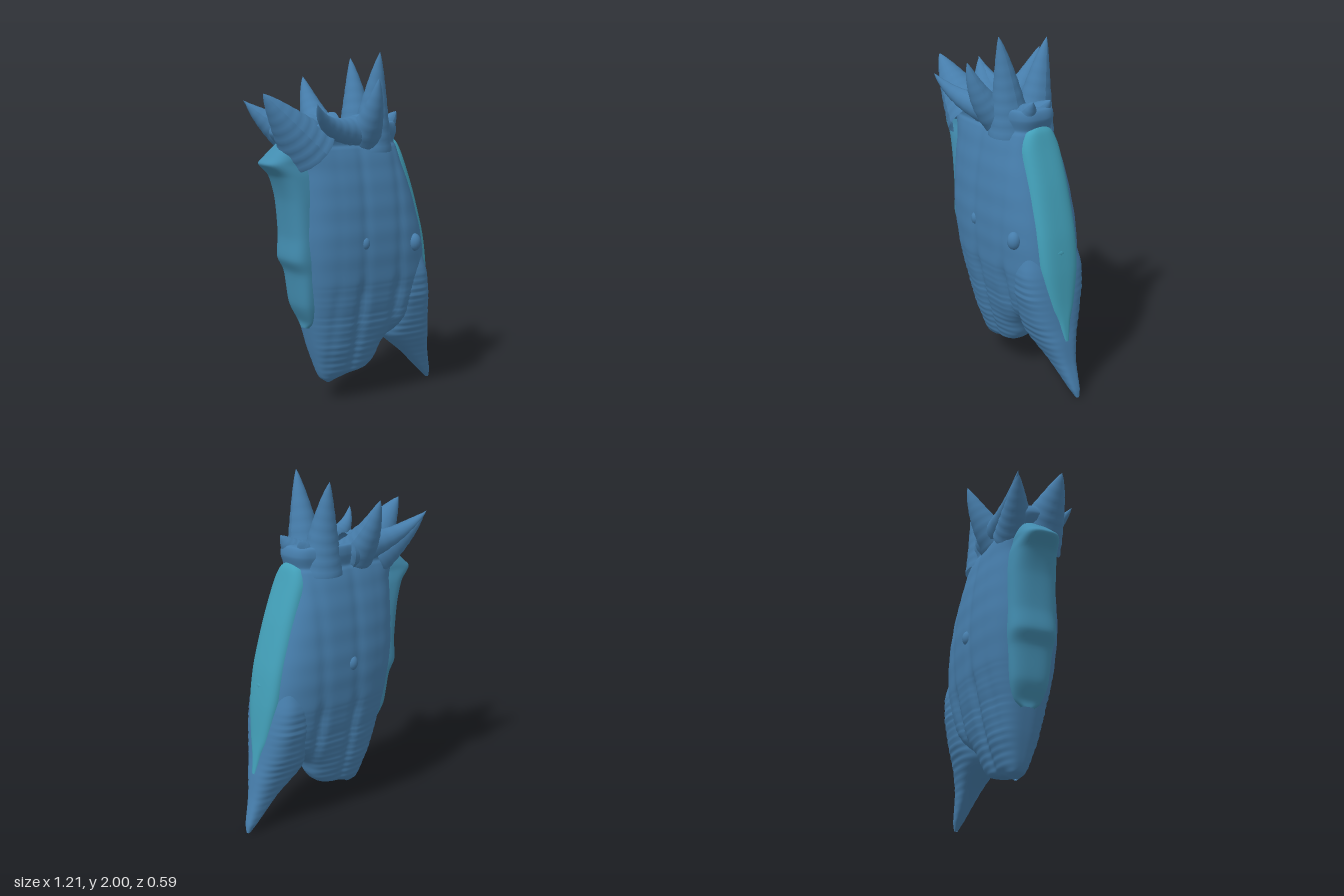
import * as THREE from 'three';

const blue = new THREE.MeshStandardMaterial({ color: 0x467dab, side: THREE.DoubleSide });
const teal = new THREE.MeshStandardMaterial({ color: 0x429fb8, side: THREE.DoubleSide });
const midBlue = new THREE.MeshStandardMaterial({ color: 0x428caf, side: THREE.DoubleSide });

// Skin over rows of [y, left x, right x, half depth, centre z], listed bottom to top.
function loft(rows, { n = 3, grooves = [], ripple = 0, rings = 70, sides = 48 } = {}) {
  const edge = (k) => new THREE.CatmullRomCurve3(
    rows.map((r) => new THREE.Vector3(r[k], r[0], k === 1 ? r[3] : r[4] || 0)), false, 'catmullrom', 0.4);
  const left = edge(1), right = edge(2);
  const pos = [], index = [];
  for (let i = 0; i <= rings; i++) {
    const l = left.getPoint(i / rings), r = right.getPoint(i / rings);
    const cx = (l.x + r.x) / 2, w = (r.x - l.x) / 2;
    // growth rings, strong on the lower part
    const low = THREE.MathUtils.smoothstep(0.8 - l.y, 0, 0.2);
    const wave = 1 + ripple * (low * Math.sin(l.y * 150) + 0.35 * Math.sin(l.y * 45));
    for (let j = 0; j < sides; j++) {
      const a = (j / sides) * Math.PI * 2, c = Math.cos(a), s = Math.sin(a);
      const round = (Math.abs(c) ** n + Math.abs(s) ** n) ** (-1 / n);
      const x = cx + w * round * c;
      let d = Math.max(l.z, 0) * wave;
      // lengthwise seams that deepen towards the bottom
      for (const [gx, depth] of grooves) {
        const off = (x - gx) / 0.03;
        d *= 1 - depth * Math.exp(-off * off) * (0.35 + low);
      }
      pos.push(x, l.y, r.z + d * round * s);
      if (i < rings) {
        const next = (j + 1) % sides, p = i * sides;
        index.push(p + j, p + sides + j, p + next, p + next, p + sides + j, p + sides + next);
      }
    }
  }
  const g = new THREE.BufferGeometry();
  g.setAttribute('position', new THREE.Float32BufferAttribute(pos, 3));
  g.setIndex(index);
  g.computeVertexNormals();
  return g;
}

// Curved horn: a tube whose rings shrink towards the tip.
function horn(base, mid, tip, radius) {
  const curve = new THREE.QuadraticBezierCurve3(
    new THREE.Vector3(...base), new THREE.Vector3(...mid), new THREE.Vector3(...tip));
  const rings = 32, sides = 18;
  const g = new THREE.TubeGeometry(curve, rings, radius, sides);
  const p = g.attributes.position, v = new THREE.Vector3();
  for (let i = 0; i <= rings; i++) {
    const t = i / rings, c = curve.getPointAt(t);
    const s = (1 - t) ** 0.85 * (1 + 0.015 * Math.sin(t * 50)) + 0.04 * (1 - t ** 8);
    for (let j = 0; j <= sides; j++) {
      const k = i * (sides + 1) + j;
      v.fromBufferAttribute(p, k).sub(c).multiplyScalar(s).add(c);
      p.setXYZ(k, v.x, v.y, v.z);
    }
  }
  g.computeVertexNormals();
  return g;
}

export function createModel() {
  const model = new THREE.Group();
  const add = (name, geometry, material = blue) => {
    const m = new THREE.Mesh(geometry, material);
    m.name = name;
    model.add(m);
    return m;
  };

  // Pod body, ending in a shallow dished mouth
  add('podBody', loft([
    [0.11, -0.16, -0.14, 0.01], [0.14, -0.2, -0.08, 0.045], [0.18, -0.22, 0.09, 0.075],
    [0.24, -0.24, 0.15, 0.1], [0.34, -0.27, 0.2, 0.135], [0.5, -0.31, 0.42, 0.18],
    [0.7, -0.35, 0.465, 0.222], [0.95, -0.385, 0.435, 0.24], [1.2, -0.385, 0.365, 0.225],
    [1.38, -0.385, 0.3, 0.195], [1.47, -0.42, 0.275, 0.172], [1.5, -0.45, 0.265, 0.16],
    [1.56, -0.49, 0.28, 0.17], [1.61, -0.47, 0.26, 0.165], [1.61, -0.4, 0.18, 0.12],
    [1.57, -0.24, 0.02, 0.06], [1.56, -0.12, -0.1, 0.005],
  ], { n: 3, ripple: 0.016, rings: 190, sides: 128, grooves: [[-0.04, 0.1], [0.2, 0.11], [-0.2, 0.03], [-0.34, 0.05]] }));

  // Long pointed tail on one lower corner
  add('tail', loft([
    [0.005, 0.585, 0.605, 0.01, -0.03], [0.06, 0.53, 0.6, 0.03, -0.025], [0.2, 0.39, 0.56, 0.065, -0.01],
    [0.33, 0.24, 0.535, 0.115], [0.42, 0.22, 0.515, 0.15], [0.6, 0.22, 0.488, 0.195],
    [0.75, 0.23, 0.46, 0.2], [0.95, 0.24, 0.4, 0.14], [1.1, 0.25, 0.32, 0.02],
  ], { n: 2.8, ripple: 0.016, rings: 110, sides: 64 }));

  // Pale side panels bulging between the edges of the shell
  add('leftPanel', loft([
    [0.34, 0.5, 0.535, 0.015], [0.45, 0.4, 0.522, 0.045], [0.55, 0.4, 0.51, 0.08], [0.75, 0.35, 0.492, 0.12],
    [0.95, 0.3, 0.46, 0.13], [1.2, 0.2, 0.392, 0.13], [1.4, 0.15, 0.322, 0.12],
    [1.49, 0.15, 0.29, 0.085], [1.53, 0.18, 0.26, 0.02],
  ], { n: 3.2 }), teal);
  add('rightPanel', loft([
    [0.46, -0.32, -0.25, 0.04], [0.5, -0.325, -0.25, 0.08], [0.6, -0.37, -0.25, 0.11], [0.78, -0.395, -0.25, 0.13],
    [0.87, -0.437, -0.25, 0.14], [1, -0.43, -0.25, 0.14], [1.2, -0.45, -0.25, 0.14],
    [1.33, -0.495, -0.25, 0.13], [1.4, -0.565, -0.25, 0.115], [1.44, -0.53, -0.25, 0.11],
    [1.52, -0.44, -0.25, 0.09],
  ], { n: 3 }), midBlue);

  // Crown of horns round the mouth: base, bend, tip, radius
  [
    [[0.09, 1.46, 0.07], [0.1, 1.75, 0.1], [0.1, 2, 0.155], 0.12],
    [[0.1, 1.46, -0.07], [0.11, 1.75, -0.1], [0.11, 1.965, -0.16], 0.12],
    [[0.03, 1.5, 0.05], [0.01, 1.6, 0.22], [0, 1.86, 0.29], 0.11],
    [[-0.12, 1.5, -0.05], [-0.13, 1.62, -0.2], [-0.13, 1.86, -0.295], 0.12],
    [[0, 1.56, 0.09], [-0.28, 1.56, 0.17], [-0.375, 1.73, 0.265], 0.095],
    [[-0.3, 1.47, 0.05], [-0.47, 1.64, 0.08], [-0.6, 1.785, 0.085], 0.16],
    [[-0.05, 1.56, -0.1], [-0.42, 1.58, -0.14], [-0.58, 1.74, -0.18], 0.1],
    [[-0.28, 1.5, -0.06], [-0.45, 1.6, -0.13], [-0.57, 1.73, -0.175], 0.12],
    [[0.12, 1.52, 0.03], [0.2, 1.56, 0.05], [0.28, 1.665, 0.06], 0.11],
    [[0.12, 1.52, -0.03], [0.18, 1.56, -0.05], [0.25, 1.65, -0.08], 0.11],
  ].forEach(([base, mid, tip, r]) => add('crownHorn', horn(base, mid, tip, r)));

  // Small knobs on the shell
  [
    [0.31, 0.92, 0.205, 0.04], [-0.04, 0.95, 0.215, 0.03], [-0.1, 1.53, 0.15, 0.03], [0.15, 1.52, 0.135, 0.025],
    [-0.4, 1.47, 0.1, 0.03], [0, 0.95, -0.22, 0.035],
  ].forEach(([x, y, z, r]) => {
    const knob = add('knob', new THREE.SphereGeometry(r, 16, 12));
    knob.position.set(x, y, z);
    knob.scale.y = 1.3;
  });

  // Rounded lump on the left panel
  const lump = add('panelLump', new THREE.SphereGeometry(0.05, 20, 14), teal);
  lump.position.set(0.44, 0.85, 0.01);
  lump.scale.set(0.8, 0.7, 1.3);

  return model;
}
